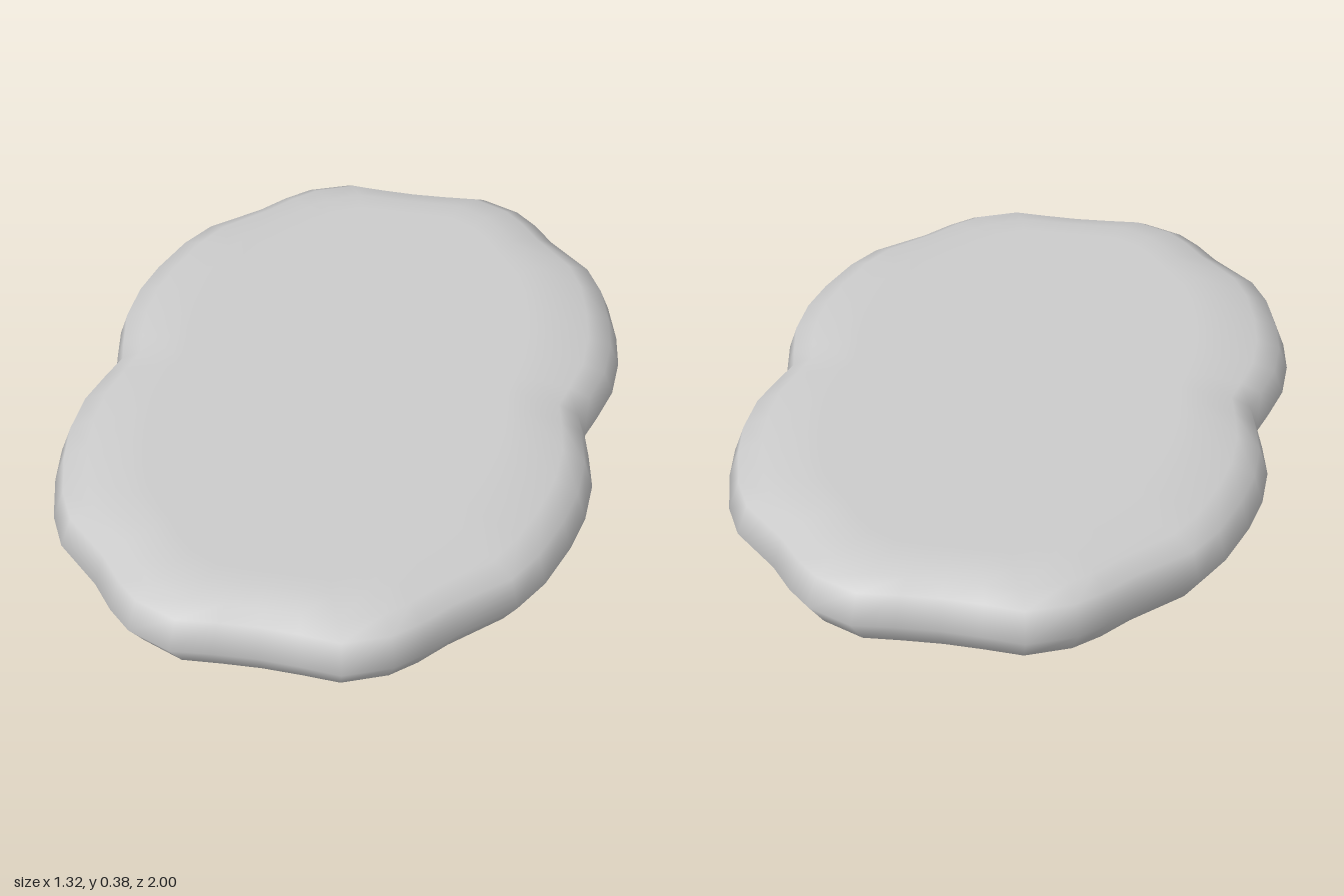
import * as THREE from 'three';

// One quarter of the plan outline, [x, z], from the front middle to the left waist
const QUARTER = [
  [0, 0.985], [0.1, 0.99], [0.2, 1.0], [0.31, 0.95], [0.37, 0.89], [0.43, 0.81],
  [0.55, 0.69], [0.6, 0.59], [0.64, 0.45], [0.66, 0.33], [0.66, 0.2], [0.635, 0.08], [0.615, 0],
];

// Rings from bottom to top: [y, x scale, z scale, share of lobed outline]
const RINGS = [
  [0.0, 0, 0, 0], [0.003, 0.14, 0.18, 0], [0.012, 0.32, 0.4, 0.1], [0.033, 0.5, 0.59, 0.2],
  [0.075, 0.67, 0.73, 0.4], [0.14, 0.82, 0.85, 0.65], [0.21, 0.935, 0.95, 0.9],
  [0.28, 1, 1, 1], [0.345, 0.965, 0.965, 1], [0.37, 0.88, 0.925, 0.9],
  [0.385, 0.73, 0.86, 0.7], [0.385, 0.66, 0.8, 0.6], [0.385, 0, 0, 0],
];

// Mirror the quarter into a closed loop running front, left, back, right
function fullOutline() {
  const half = [...QUARTER, ...QUARTER.slice(0, -1).reverse().map(([x, z]) => [x, -z])];
  return [...half, ...half.slice(1, -1).reverse().map(([x, z]) => [-x, z])];
}

// Plain rounded oval point in the same direction as an outline point
function ovalPoint(x, z) {
  const n = 2.3;
  const r = Math.pow(Math.pow(Math.abs(x) / 0.66, n) + Math.pow(Math.abs(z), n), -1 / n);
  return [x * r, z * r];
}

function slabGeometry() {
  const outline = fullOutline();
  const count = outline.length;
  const positions = [];
  const index = [];
  for (const [y, sx, sz, lobed] of RINGS) {
    for (const [x, z] of outline) {
      const [ox, oz] = ovalPoint(x, z);
      positions.push(
        THREE.MathUtils.lerp(ox, x, lobed) * sx, y,
        THREE.MathUtils.lerp(oz, z, lobed) * sz);
    }
  }
  for (let r = 0; r < RINGS.length - 1; r++) {
    for (let i = 0; i < count; i++) {
      const a = r * count + i;
      const b = r * count + (i + 1) % count;
      if (r > 0) index.push(a, b, b + count);
      if (r < RINGS.length - 2) index.push(a, b + count, a + count);
    }
  }
  // Close the two poles
  const top = (RINGS.length - 2) * count;
  for (let i = 0; i < count; i++) {
    if (index.length === 0) index.push(top + i, top + (i + 1) % count, top + count);
  }
  const geometry = new THREE.BufferGeometry();
  geometry.setAttribute('position', new THREE.Float32BufferAttribute(positions, 3));
  geometry.setIndex(index);
  geometry.computeVertexNormals();
  return geometry;
}

export function createModel() {
  const group = new THREE.Group();
  group.name = 'roundedSlab';
  const body = new THREE.Mesh(
    slabGeometry(), new THREE.MeshStandardMaterial({ color: 0xcccccc }));
  body.name = 'body';
  group.add(body);
  return group;
}
